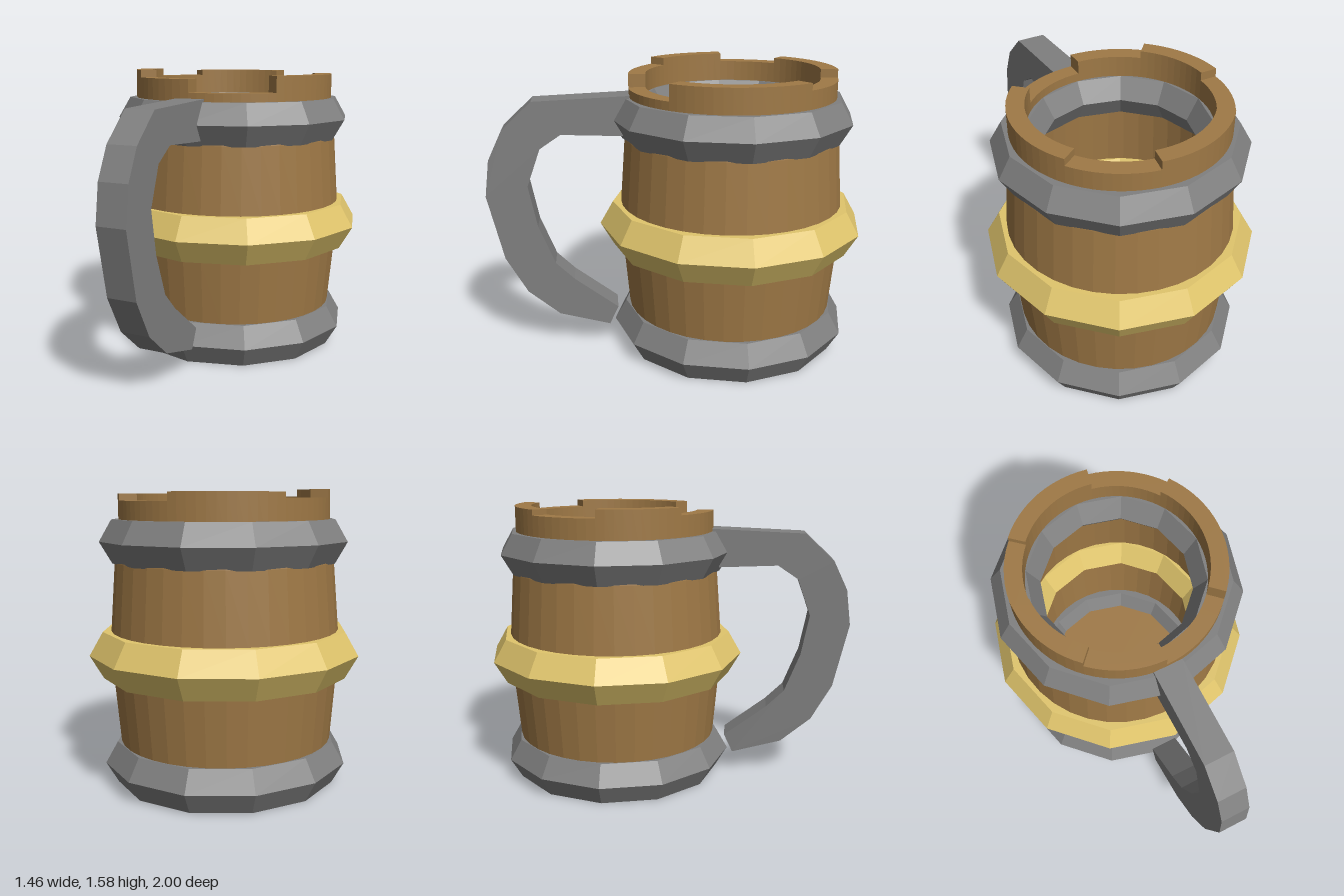
import * as THREE from 'three';

const rad = THREE.MathUtils.degToRad;
const material = (color) => new THREE.MeshStandardMaterial({ color, flatShading: true });
const wood = material(0x9f7946);
const iron = material(0x808080);
const brass = material(0xe0c56c);

function add(parent, name, geometry, mat) {
  const mesh = new THREE.Mesh(geometry, mat);
  mesh.name = name;
  parent.add(mesh);
  return mesh;
}

// Twelve-sided hoop with a hexagonal section
function hoop(parent, name, y, radius, tube, mat) {
  const geometry = new THREE.TorusGeometry(radius, tube, 6, 12);
  geometry.rotateZ(rad(8)).rotateX(Math.PI / 2);
  add(parent, name, geometry, mat).position.y = y;
}

// Curved piece of the rim between two angles, measured from the front towards +x
function rimPiece(parent, from, to, bottom, top) {
  const a = rad(from - 90), b = rad(to - 90);
  const shape = new THREE.Shape();
  shape.absarc(0, 0, 0.562, a, b, false);
  shape.absarc(0, 0, 0.47, b, a, true);
  const geometry = new THREE.ExtrudeGeometry(shape, {
    depth: top - bottom, bevelEnabled: false, curveSegments: Math.round((to - from) / 10),
  });
  geometry.rotateX(-Math.PI / 2);
  add(parent, 'rimStave', geometry, wood).position.y = bottom;
}

export function createModel() {
  const model = new THREE.Group();
  model.name = 'tankard';
  const mug = new THREE.Group();
  mug.name = 'mug';
  mug.position.z = -0.277;
  model.add(mug);

  // Hollow barrel: underside, bulging outside, inside wall, floor; its top edge lies within the top hoop
  const rimY = 1.3;
  const profile = [
    [0, 0.06], [0.55, 0.06], [0.578, 0.23], [0.608, 0.58], [0.616, 0.83], [0.588, 1.2],
    [0.57, rimY], [0.48, rimY], [0.5, 1.2], [0.525, 0.75], [0.49, 0.14], [0, 0.14],
  ].map(([r, y]) => new THREE.Vector2(r, y));
  add(mug, 'barrel', new THREE.LatheGeometry(profile, 36), wood);

  // Uneven stave tops around the rim
  for (const [from, to, top] of [
    [21, 69, 1.47], [69, 146, 1.557], [146, 191, 1.52], [191, 251, 1.565],
    [251, 291, 1.535], [291, 339, 1.58], [339, 381, 1.54],
  ]) rimPiece(mug, from, to, rimY, top);

  // Hoops
  hoop(mug, 'bottomHoop', 0.115, 0.535, 0.132, iron);
  hoop(mug, 'middleHoop', 0.71, 0.59, 0.145, brass);
  hoop(mug, 'topHoop', 1.31, 0.535, 0.132, iron);

  // Handle: flat side outline, outer edge then inner edge, given width
  const outline = [
    [0.56, 1.44], [1.075, 1.42], [1.237, 1.27], [1.315, 1.11], [1.342, 0.91], [1.263, 0.55],
    [1.15, 0.345], [0.98, 0.2], [0.7, 0.12],
    [0.65, 0.225], [0.89, 0.41], [0.99, 0.51], [1.075, 0.73], [1.118, 0.96], [1.043, 1.165],
    [0.93, 1.24], [0.6, 1.225],
  ].map(([r, y]) => new THREE.Vector2(r, y));
  const width = 0.16;
  const handleGeometry = new THREE.ExtrudeGeometry(new THREE.Shape(outline), {
    depth: width, bevelEnabled: false,
  });
  handleGeometry.translate(0, 0, -width / 2);
  add(mug, 'handle', handleGeometry, iron).rotation.y = rad(22 - 90);

  return model;
}
